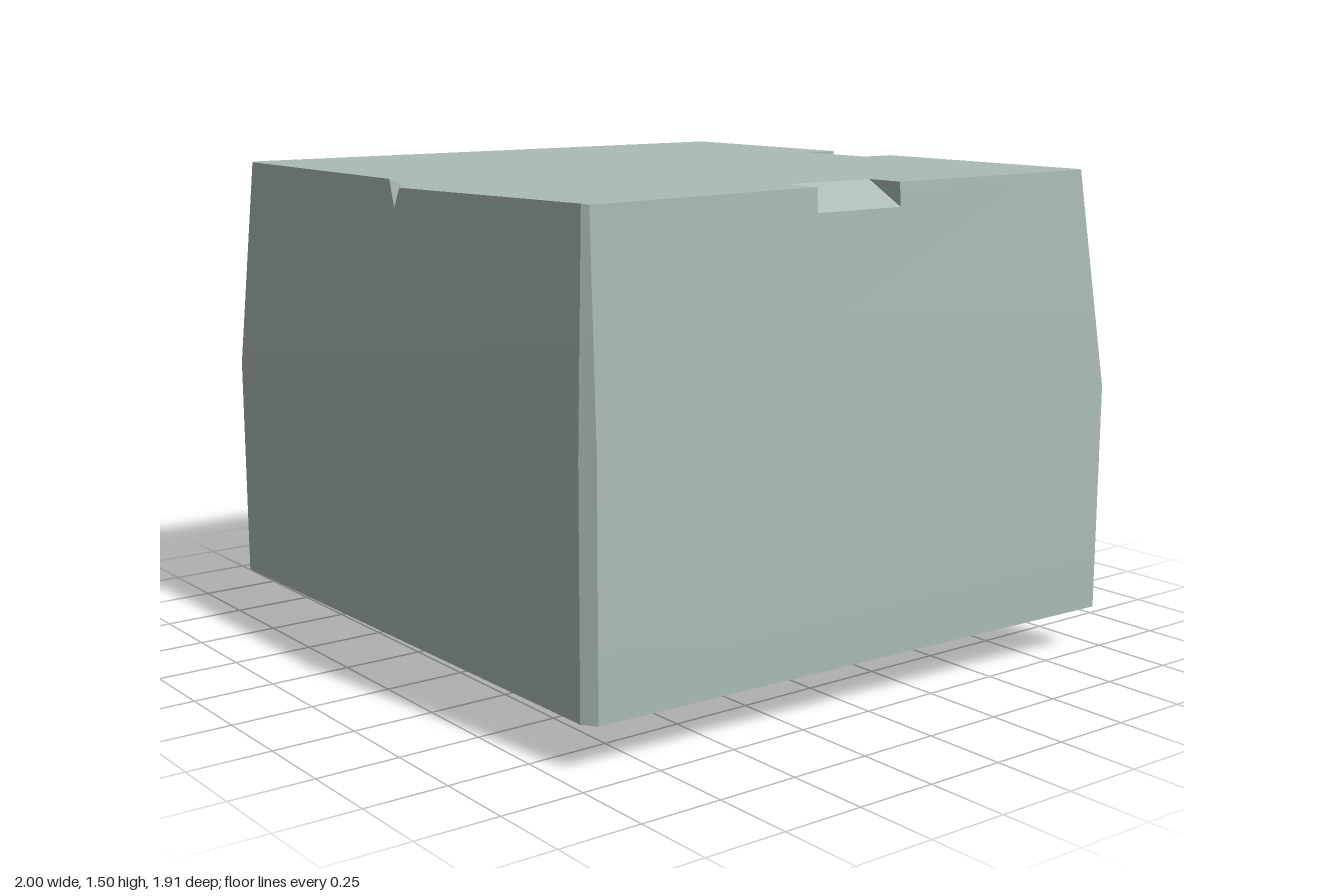
import * as THREE from 'three';
import { toCreasedNormals } from 'three/addons/utils/BufferGeometryUtils.js';

// The block is a hollow shell, open underneath
const stone = new THREE.MeshStandardMaterial({ color: 0xabbbb7, side: THREE.DoubleSide });
stone.name = 'grey green stone';
const wood = new THREE.MeshStandardMaterial({ color: 0x4a3422 });
wood.name = 'dark brown wood';

// Triangles of one flat polygon, facing the way of the hint normal
function panel(out, hint, outline, holes = []) {
  const h = hint.map(Math.abs);
  const drop = h.indexOf(Math.max(...h));
  const flat = (loop) => loop.map((p) => new THREE.Vector2(...p.filter((_, i) => i !== drop)));
  const tris = THREE.ShapeUtils.triangulateShape(flat(outline), holes.map(flat));
  const pts = [outline, ...holes].flat().map((p) => new THREE.Vector3(...p));
  const want = new THREE.Vector3(...hint);
  for (const t of tris) {
    const [a, b, c] = t.map((i) => pts[i]);
    const n = b.clone().sub(a).cross(c.clone().sub(a));
    const order = n.dot(want) < 0 ? [a, c, b] : [a, b, c];
    for (const p of order) out.push(p.x, p.y, p.z);
  }
}

function stoneMesh(name, panels) {
  const out = [];
  for (const p of panels) panel(out, ...p);
  const g = new THREE.BufferGeometry();
  g.setAttribute('position', new THREE.Float32BufferAttribute(out, 3));
  const m = new THREE.Mesh(toCreasedNormals(g, 0.3), stone);
  m.name = name;
  return m;
}

const LOW = 0.135, MID = 0.84, TOP = 1.5;
const UP = [0, 1, 0], DOWN = [0, -1, 0], FRONT = [0, 0, 1], BACK = [0, 0, -1];
const LEFT = [1, 0, 0], RIGHT = [-1, 0, 0];

// Gallery opening
const GX0 = -0.87, GX1 = 0.86, GY0 = 0.92, GY1 = 1.422, GZ = -0.74;
const backZ = (x, y) => {
  const u = (x + 0.97) / 1.97, v = (y - MID) / (TOP - MID);
  return THREE.MathUtils.lerp(-0.93 - 0.03 * u, -0.925 - 0.005 * u, v);
};

function addBody(group) {
  // Plan corners of the walls; one foot reaches lower than the others
  const plan = [[-1, 0.955], [0.89, 0.93], [0.93, 0.9], [1, -0.96], [-0.97, -0.93]];
  const low = plan.map(([x, z], i) => [x, i === 4 ? 0 : LOW, z]);
  const mid = plan.map(([x, z]) => [x, MID, z]);
  const hints = [FRONT, [1, 0, 1], LEFT, BACK, RIGHT];
  const lowerWalls = hints.map((h, i) => {
    const j = (i + 1) % 5;
    return [h, [low[i], low[j], mid[j], mid[i]]];
  });

  // Corners of the roof, with small chamfers
  const f1 = [-0.905, TOP, 0.935], f2 = [-0.935, TOP, 0.91];
  const r1 = [0.91, 1.496, 0.93], r2 = [0.925, 1.493, 0.915];
  const n1 = [0.925, TOP, -0.91], n2 = [0.905, TOP, -0.93];
  const l = [-0.935, TOP, -0.925];

  // Chip in the front edge
  const chipA = [-0.03, TOP, 0.935], chipLow = [0, 1.42, 0.938];
  const chipB = [0.02, 1.478, 0.932], chipIn = [0, 1.48, 0.905];

  // Ramped notches: a, b on the outer edge; c, d below them; e, f inside
  const side = {
    a: [0.925, TOP, 0.16], b: [0.925, TOP, -0.15],
    c: [0.929, 1.43, 0.16], d: [0.929, 1.43, -0.15],
    e: [0.8, TOP, 0.16], f: [0.8, TOP, -0.15],
  };
  const rear = {
    a: [0.08, TOP, backZ(0.08, TOP)], b: [-0.2, TOP, backZ(-0.2, TOP)],
    c: [0.08, 1.435, backZ(0.08, 1.435)], d: [-0.2, 1.435, backZ(-0.2, 1.435)],
    e: [0.08, TOP, -0.81], f: [-0.2, TOP, -0.81],
  };
  // The sill sits back a little, so the wall below it slopes
  const opening = [[GX0, GY0, -0.925], [GX1, GY0, -0.928],
    [GX1, GY1, backZ(GX1, GY1)], [GX0, GY1, backZ(GX0, GY1)]];

  group.add(stoneMesh('walls', [
    ...lowerWalls,
    [FRONT, [mid[0], mid[1], r1, chipB, chipLow, chipA, f1]],
    [[-1, 0, 1], [mid[0], f1, f2]],
    [[1, 0, 1], [mid[1], mid[2], r2, r1]],
    [LEFT, [mid[2], mid[3], n1, side.b, side.d, side.c, side.a, r2]],
    [[1, 0, -1], [mid[3], n1, n2]],
    [BACK, [mid[3], mid[4], l, rear.b, rear.d, rear.c, rear.a, n2], [opening]],
    [RIGHT, [mid[4], mid[0], f2, l]],
  ]));

  // Roof, dipping slightly towards the chip
  group.add(stoneMesh('roof', [
    [UP, [f2, f1, chipA, chipIn, side.e, side.f, side.b, n1, n2,
      rear.a, rear.e, rear.f, rear.b, l]],
    [UP, [chipIn, chipB, r1, r2, side.a, side.e]],
  ]));

  group.add(stoneMesh('roofNotches', [
    [UP, [side.c, side.d, side.f, side.e]],
    [BACK, [side.a, side.c, side.e]],
    [FRONT, [side.b, side.d, side.f]],
    [UP, [rear.c, rear.d, rear.f, rear.e]],
    [RIGHT, [rear.a, rear.c, rear.e]],
    [LEFT, [rear.b, rear.d, rear.f]],
    [[1, 0, 0.3], [chipA, chipLow, chipIn]],
    [[-1, 0, 0.3], [chipB, chipLow, chipIn]],
  ]));

  // Recess behind the opening
  const inner = opening.map(([x, y]) => [x, y, GZ]);
  group.add(stoneMesh('galleryRecess', [
    [BACK, inner],
    ...[UP, RIGHT, DOWN, LEFT].map((h, i) => {
      const j = (i + 1) % 4;
      return [h, [opening[i], opening[j], inner[j], inner[i]]];
    }),
  ]));
}

function addTimber(group) {
  const bar = (name, w, h, d, x, y, z, tilt = 0) => {
    const m = new THREE.Mesh(new THREE.BoxGeometry(w, h, d), wood);
    m.name = name;
    m.position.set(x, y, z);
    m.rotation.z = tilt;
    group.add(m);
  };
  const z = -0.909;
  const posts = [-0.854, -0.51, -0.155, 0.19, 0.52, 0.844];
  bar('topBeam', GX1 - GX0, 0.026, 0.03, (GX0 + GX1) / 2, GY1 - 0.013, z);
  posts.forEach((x, i) => {
    bar('post', 0.03, GY1 - GY0, 0.034, x, (GY0 + GY1) / 2, z);
    // Knee braces on both sides, one only at the ends
    for (const s of [-1, 1]) {
      if ((i === 0 && s < 0) || (i === 5 && s > 0)) continue;
      bar('kneeBrace', 0.028, 0.115, 0.024, x + s * 0.045, GY1 - 0.065, z, -s * 0.75);
    }
  });
}

export function createModel() {
  const model = new THREE.Group();
  model.name = 'stoneBlockWithGallery';
  addBody(model);
  const timber = new THREE.Group();
  timber.name = 'galleryTimber';
  addTimber(timber);
  model.add(timber);
  return model;
}
